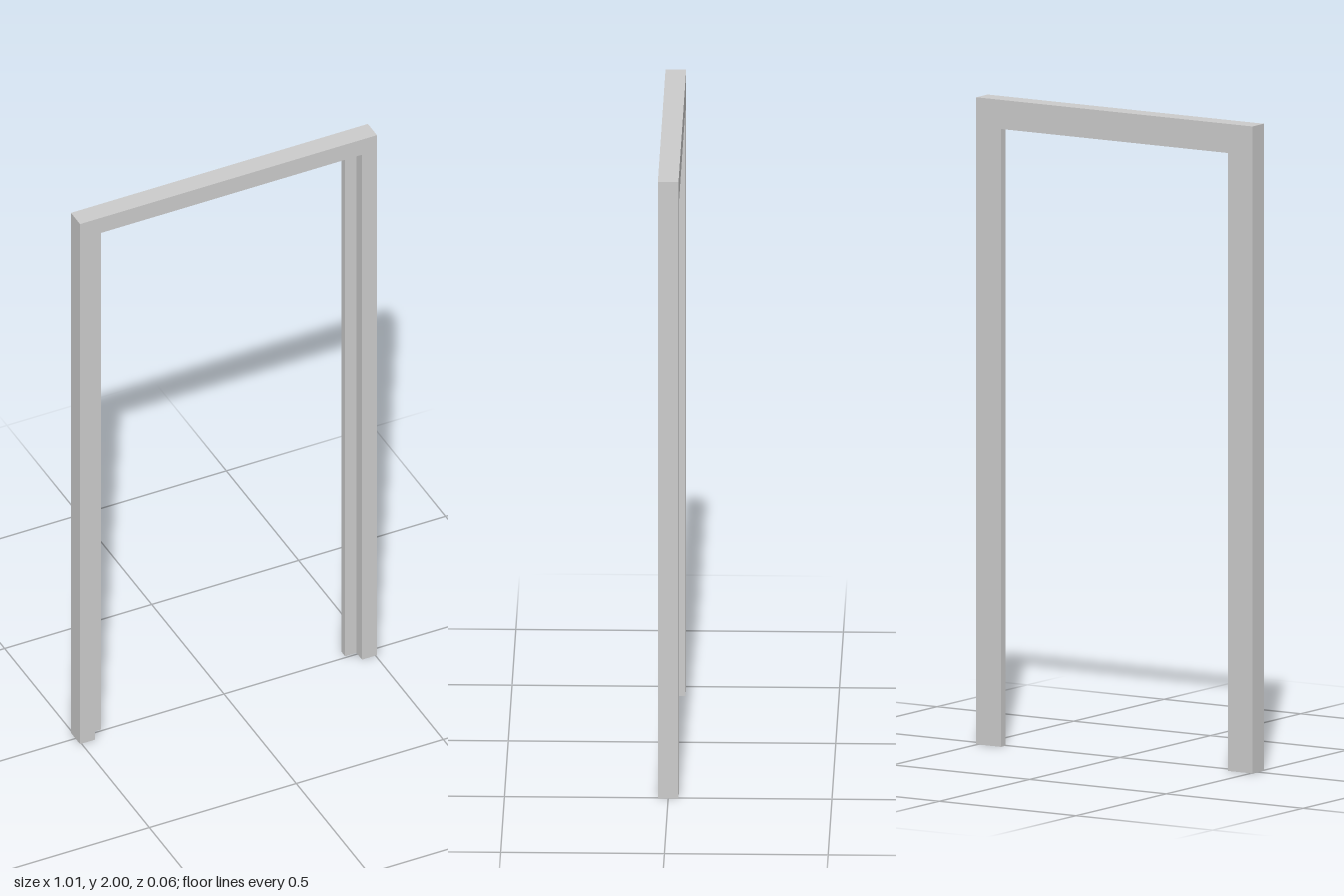
import * as THREE from 'three';

const HALF_W = 0.505, HEIGHT = 2, HALF_D = 0.0315, REBATE_Z = -0.0065;

// Rebated L-section: inset on the jambs, inset on the head, z
const SECTION = [
  [0, 0, HALF_D],
  [0.051, 0.058, HALF_D],
  [0.051, 0.058, REBATE_Z],
  [0.09, 0.09, REBATE_Z],
  [0.09, 0.09, -HALF_D],
  [0, 0, -HALF_D],
];

// Section placed at each station: foot, mitre, mitre, foot
const STATIONS = [[-1, 0], [-1, 1], [1, 1], [1, 0]].map(([side, top]) =>
  SECTION.map(([jamb, head, z]) => [side * (HALF_W - jamb), top * (HEIGHT - head), z]));

function sweepFrame() {
  const pos = [];
  const tri = (a, b, c) => pos.push(...a, ...b, ...c);
  const n = SECTION.length;

  // Long faces of the two jambs and the head
  for (let s = 0; s < STATIONS.length - 1; s++) {
    for (let i = 0; i < n; i++) {
      const j = (i + 1) % n, p = STATIONS[s], q = STATIONS[s + 1];
      tri(p[i], p[j], q[j]);
      tri(p[i], q[j], q[i]);
    }
  }

  // L-shaped feet, fanned from the inner corner of the rebate
  const first = STATIONS[0], last = STATIONS[STATIONS.length - 1];
  for (let k = 3; k < n + 1; k++) {
    const i = k % n, j = (k + 1) % n;
    tri(first[2], first[j], first[i]);
    tri(last[2], last[i], last[j]);
  }
  tri(first[2], first[1], first[0]);
  tri(last[2], last[0], last[1]);

  const geometry = new THREE.BufferGeometry();
  geometry.setAttribute('position', new THREE.Float32BufferAttribute(pos, 3));
  geometry.computeVertexNormals();
  return geometry;
}

export function createModel() {
  const group = new THREE.Group();
  group.name = 'doorway';
  const frame = new THREE.Mesh(sweepFrame(), new THREE.MeshStandardMaterial({ color: 0xcccccc }));
  frame.name = 'doorFrame';
  group.add(frame);
  return group;
}
